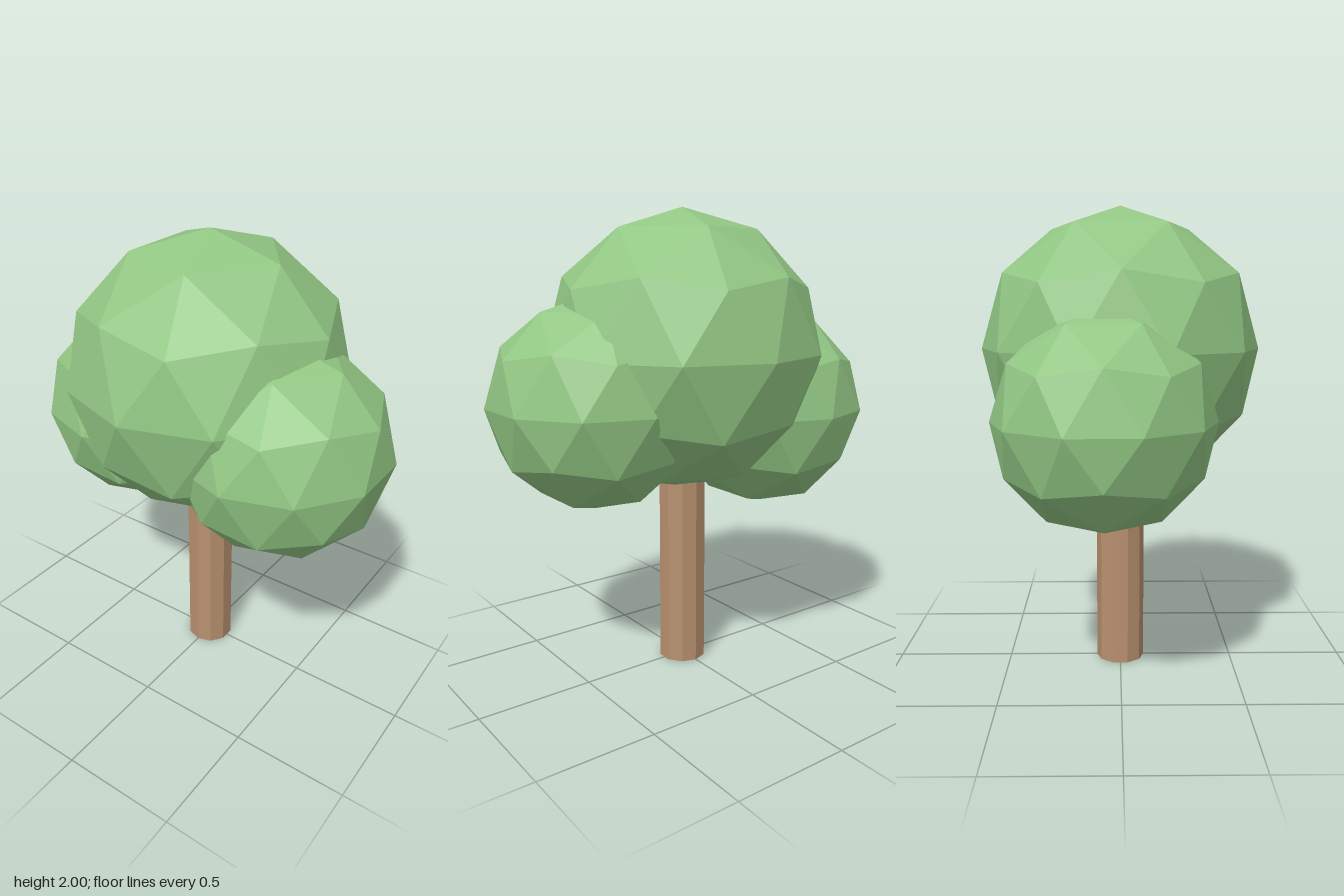
import * as THREE from 'three';

const leafGreen = new THREE.MeshStandardMaterial({ color: 0x92c784, flatShading: true });
leafGreen.name = 'leaf green';
const barkBrown = new THREE.MeshStandardMaterial({ color: 0xb8906f, flatShading: true });
barkBrown.name = 'bark brown';

// Angle that stands an icosahedron on one of its corners
const TIP = -Math.atan(2 / (1 + Math.sqrt(5)));

function addFoliage(tree, name, radius, x, y, z) {
  const geometry = new THREE.IcosahedronGeometry(radius, 1);
  geometry.rotateZ(TIP);
  geometry.computeVertexNormals();
  const mesh = new THREE.Mesh(geometry, leafGreen);
  mesh.name = name;
  mesh.position.set(x, y, z);
  tree.add(mesh);
}

export function createModel() {
  const tree = new THREE.Group();
  tree.name = 'tree';

  // Ten-sided trunk, its top hidden in the crown
  const height = 1;
  const trunk = new THREE.Mesh(new THREE.CylinderGeometry(0.105, 0.105, height, 10), barkBrown);
  trunk.name = 'trunk';
  trunk.position.y = height / 2;
  tree.add(trunk);

  // Large crown with a smaller clump on each side
  addFoliage(tree, 'crown', 0.6, 0, 1.4, 0);
  addFoliage(tree, 'leftFoliage', 0.45, 0.4, 1.2, 0.067);
  addFoliage(tree, 'rightFoliage', 0.45, -0.4, 1.133, -0.067);

  return tree;
}
